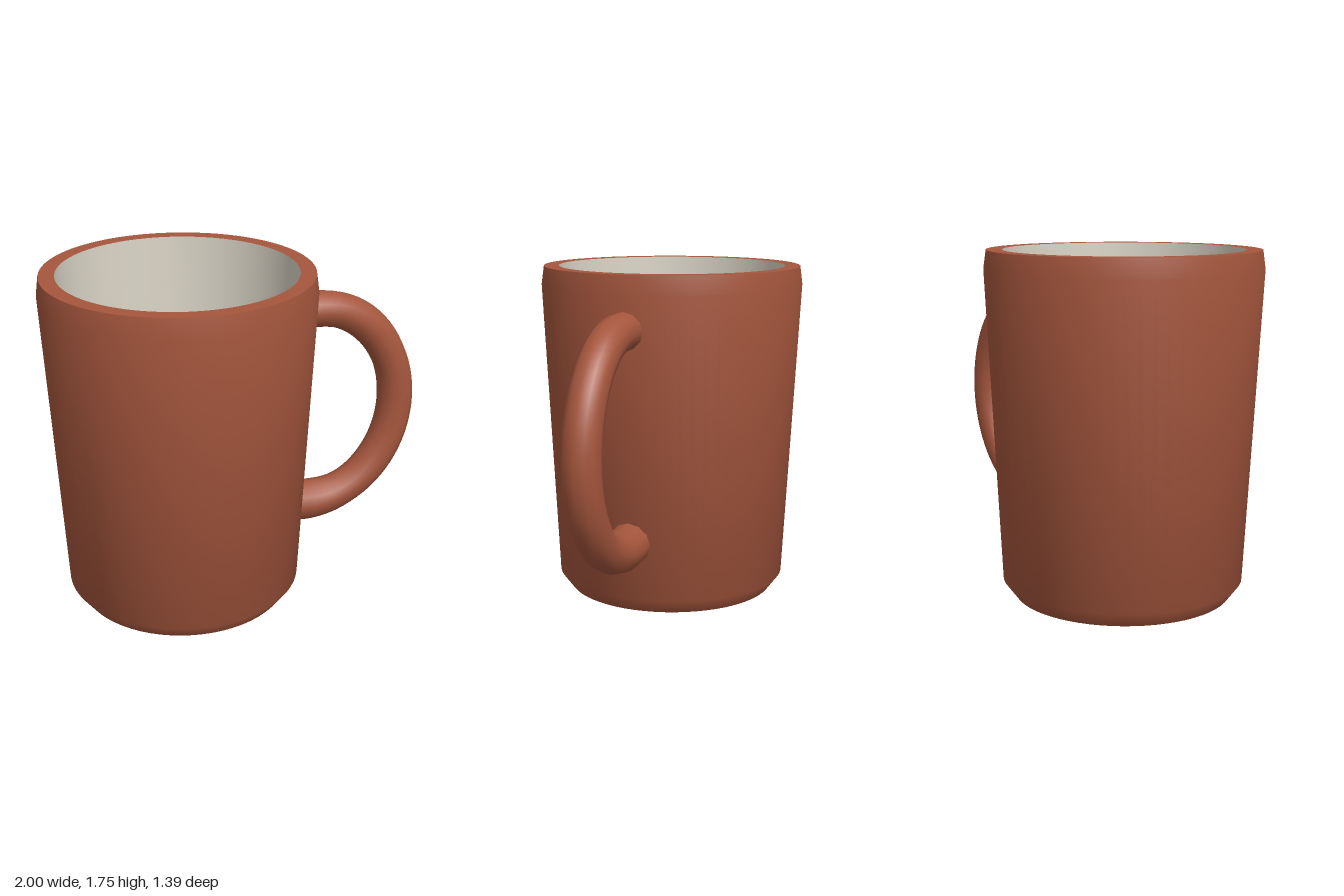
import * as THREE from 'three';
import { toCreasedNormals } from 'three/addons/utils/BufferGeometryUtils.js';

const AXIS_X = -0.305; // the cup sits left of centre to make room for the handle

const material = (color) => new THREE.MeshStandardMaterial({ color });

// Surface of revolution from [radius, height] pairs, creased at sharp corners
function turned(name, profile, mat) {
  const points = profile.map(([r, y]) => new THREE.Vector2(r, y));
  const geometry = toCreasedNormals(new THREE.LatheGeometry(points, 64), 0.7);
  const mesh = new THREE.Mesh(geometry, mat);
  mesh.name = name;
  mesh.position.x = AXIS_X;
  return mesh;
}

// Half-ellipse with straight ends that run into the cup wall
function handlePath() {
  const cx = 0.43, cy = 0.928, rx = 0.472, ry = 0.552;
  const points = [new THREE.Vector3(0.32, cy + ry - 0.005, 0)];
  for (let i = 0; i <= 12; i++) {
    const a = Math.PI / 2 - (i / 12) * Math.PI;
    points.push(new THREE.Vector3(cx + rx * Math.cos(a), cy + ry * Math.sin(a), 0));
  }
  points.push(new THREE.Vector3(0.26, cy - ry + 0.01, 0));
  return new THREE.CatmullRomCurve3(points);
}

function createHandle(mat) {
  const path = handlePath(), steps = 48, sides = 12;
  const geometry = new THREE.TubeGeometry(path, steps, 0.096, sides);
  // Thicken the rings towards the lower root
  const pos = geometry.attributes.position;
  const v = new THREE.Vector3();
  for (let i = 0; i < pos.count; i++) {
    const t = Math.floor(i / (sides + 1)) / steps;
    const centre = path.getPointAt(t);
    const flare = 1 + 0.16 * THREE.MathUtils.smoothstep(t, 0.78, 0.95);
    v.fromBufferAttribute(pos, i).sub(centre).multiplyScalar(flare).add(centre);
    pos.setXYZ(i, v.x, v.y, v.z);
  }
  const mesh = new THREE.Mesh(geometry, mat);
  mesh.name = 'handle';
  return mesh;
}

export function createModel() {
  const mug = new THREE.Group();
  mug.name = 'mug';
  const clay = material(0xa5563d);
  const glaze = material(0xd8d2c4);

  // Base, chamfered foot, tapered wall and flat rim
  mug.add(turned('body', [
    [0, 0], [0.555, 0], [0.615, 0.08], [0.695, 1.66], [0.682, 1.755], [0.602, 1.755],
  ], clay));

  // Inner wall down to the floor
  mug.add(turned('lining', [[0.602, 1.755], [0.52, 0.12], [0, 0.12]], glaze));

  mug.add(createHandle(clay));
  return mug;
}
